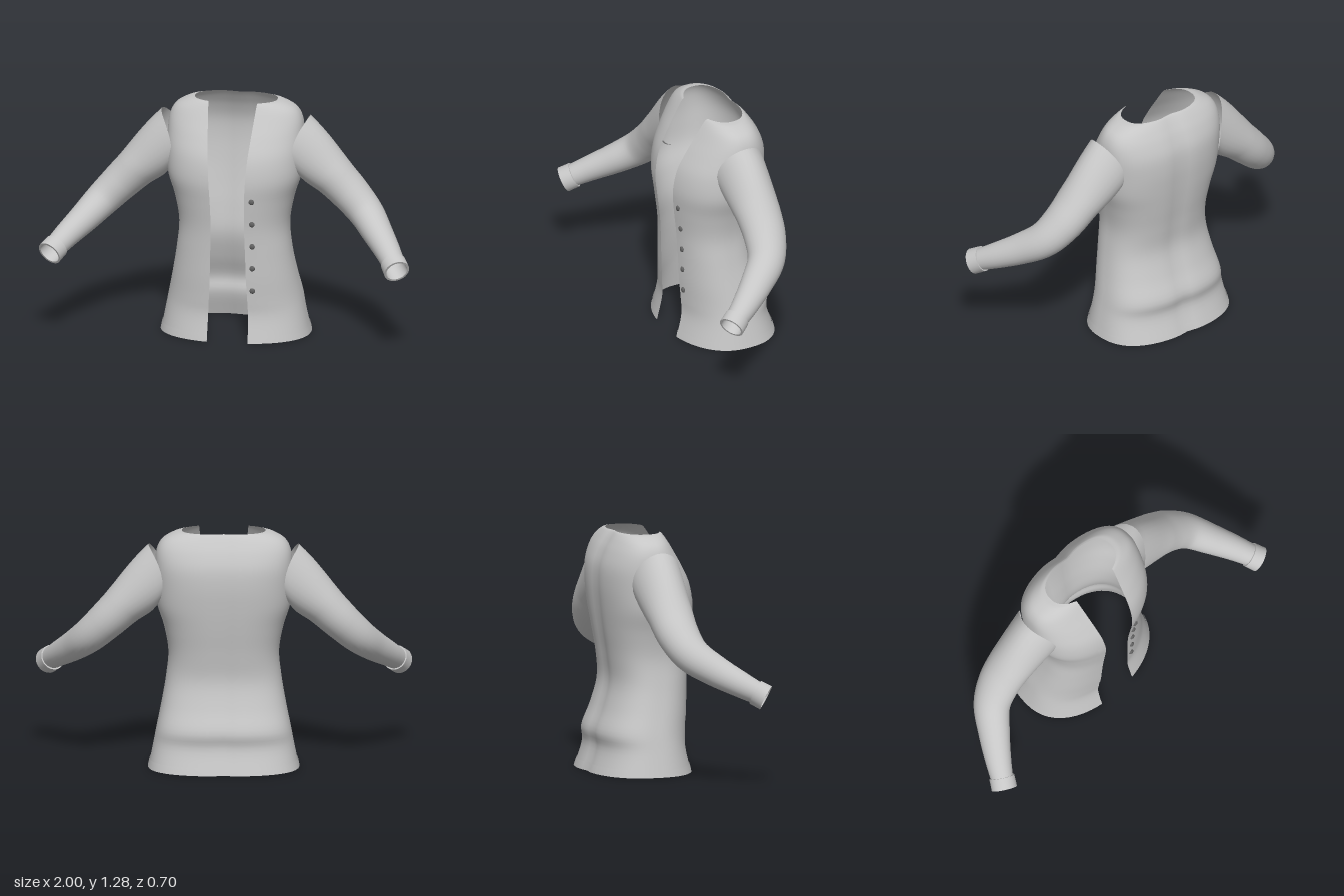
import * as THREE from 'three';

const fabric = new THREE.MeshStandardMaterial({ color: 0xc6c6c6, side: THREE.DoubleSide });
fabric.name = 'light grey fabric';
const dark = new THREE.MeshStandardMaterial({ color: 0x626262 });
dark.name = 'dark grey button';

// Smooth sheet from a rule fn(u, v); wrap closes it around u
function sheet(nu, nv, fn, wrap = false) {
  const pos = [], index = [], cols = wrap ? nu : nu + 1;
  for (let j = 0; j <= nv; j++)
    for (let i = 0; i < cols; i++) pos.push(...fn(i / nu, j / nv));
  for (let j = 0; j < nv; j++)
    for (let i = 0; i < nu; i++) {
      const a = j * cols + i, b = j * cols + ((i + 1) % cols);
      index.push(a, b, a + cols, b, b + cols, a + cols);
    }
  const geo = new THREE.BufferGeometry();
  geo.setAttribute('position', new THREE.Float32BufferAttribute(pos, 3));
  geo.setIndex(index);
  geo.computeVertexNormals();
  return geo;
}

function add(group, name, geo, mat = fabric) {
  const mesh = new THREE.Mesh(geo, mat);
  mesh.name = name;
  group.add(mesh);
  return mesh;
}

// Torso sections: height, half width, front z, back z, half opening
const SECTIONS = [
  [0, 0.398, 0.197, -0.352, 0.11], [0.13, 0.372, 0.168, -0.312, 0.108],
  [0.22, 0.355, 0.17, -0.32, 0.104], [0.34, 0.33, 0.177, -0.275, 0.098],
  [0.48, 0.306, 0.182, -0.24, 0.094], [0.62, 0.294, 0.19, -0.252, 0.09],
  [0.76, 0.318, 0.205, -0.274, 0.092], [0.88, 0.355, 0.213, -0.29, 0.098],
  [1.0, 0.364, 0.193, -0.3, 0.106], [1.1, 0.364, 0.145, -0.295, 0.115],
  [1.18, 0.355, 0.096, -0.268, 0.122], [1.235, 0.325, 0.063, -0.237, 0.127],
  [1.27, 0.265, 0.043, -0.212, 0.13], [1.28, 0.222, 0.035, -0.2, 0.132],
];
const curveA = new THREE.CatmullRomCurve3(
  SECTIONS.map(s => new THREE.Vector3(s[0], s[1], s[2])), false, 'catmullrom', 0.5);
const curveB = new THREE.CatmullRomCurve3(
  SECTIONS.map(s => new THREE.Vector3(s[0], s[3], s[4])), false, 'catmullrom', 0.5);
const NF = 2.2, NB = 2.6;

function sectionAt(t) {
  const a = curveA.getPoint(t), b = curveB.getPoint(t);
  return { y: a.x, w: a.y, zf: a.z, zb: b.y, gap: b.z, mid: (a.z + b.y) / 2 };
}

function heightToT(y) {
  let lo = 0, hi = 1;
  for (let i = 0; i < 30; i++) {
    const m = (lo + hi) / 2;
    if (curveA.getPoint(m).x < y) lo = m; else hi = m;
  }
  return (lo + hi) / 2;
}

// Angle around a section at which the front reaches a given x
const frontAngle = (s, x) => Math.asin(Math.pow(x / s.w, NF / 2));

function torsoPoint(s, a, off = 0) {
  const sn = Math.sin(a), cs = Math.cos(a), n = cs > 0 ? NF : NB;
  const x = (s.w + off) * Math.sign(sn) * Math.pow(Math.abs(sn), 2 / n);
  const d = (cs > 0 ? s.zf - s.mid : s.mid - s.zb) + off;
  let z = s.mid + d * Math.sign(cs) * Math.pow(Math.abs(cs), 2 / n);
  if (cs < 0) z += 0.012 * Math.exp(-((x / 0.05) ** 2)); // spine groove
  return [x, s.y, z];
}

function torsoSheet(t0, t1, nv, off) {
  return sheet(72, nv, (u, v) => {
    const s = sectionAt(t0 + (t1 - t0) * v), a0 = frontAngle(s, s.gap);
    return torsoPoint(s, a0 + (2 * Math.PI - 2 * a0) * u, off);
  });
}

// Sleeve sections: centre x, y, z, vertical radius, sideways radius
const ARM = [
  [0.38, 1.035, -0.075, 0.168, 0.138], [0.51, 0.895, -0.075, 0.118, 0.124],
  [0.62, 0.785, -0.065, 0.102, 0.114], [0.71, 0.695, -0.025, 0.092, 0.1],
  [0.79, 0.617, 0.075, 0.08, 0.086], [0.865, 0.55, 0.185, 0.068, 0.071],
  [0.912, 0.505, 0.264, 0.06, 0.06],
];
const armPath = new THREE.CatmullRomCurve3(ARM.map(p => new THREE.Vector3(p[0], p[1], p[2])));
const armRadii = new THREE.CatmullRomCurve3(
  ARM.map(p => new THREE.Vector3(p[3], p[4], 0)), false, 'catmullrom', 0.5);

function ringPoint(c, tangent, ru, rs, angle) {
  const t = tangent.clone().normalize();
  const up = new THREE.Vector3(0.7, 0.7, 0);
  up.addScaledVector(t, -up.dot(t)).normalize();
  const side = new THREE.Vector3().crossVectors(t, up);
  return c.clone().addScaledVector(up, ru * Math.cos(angle)).addScaledVector(side, rs * Math.sin(angle));
}

function makeSleeve(sign, name) {
  const g = new THREE.Group();
  g.name = name;
  add(g, 'sleeve', sheet(28, 36, (u, v) => {
    const a = u * 2 * Math.PI, r = armRadii.getPoint(v), k = Math.max(0, 1 - 5 * v);
    const t = armPath.getTangent(v).lerp(new THREE.Vector3(1, -0.12, 0), k);
    const p = ringPoint(armPath.getPoint(v), t, r.x, r.y, a);
    p.x -= 0.055 * k * Math.sin(a) ** 2; // armhole curves in at front and back
    return [sign * p.x, p.y, p.z];
  }, true));

  // Cuff: turned band with a hollow inside
  const start = new THREE.Vector3(0.908, 0.508, 0.258), end = new THREE.Vector3(0.936, 0.479, 0.307);
  const dir = end.clone().sub(start);
  const band = (part, pts) => {
    add(g, part, sheet(28, pts.length - 1, (u, v) => {
      const [along, r] = pts[Math.round(v * (pts.length - 1))];
      const p = ringPoint(start.clone().addScaledVector(dir, along), dir, r, r, u * 2 * Math.PI);
      return [sign * p.x, p.y, p.z];
    }, true));
  };
  band('cuffBand', [[0, 0.068], [1, 0.069]]);
  band('cuffBackEdge', [[0, 0.058], [0, 0.068]]);
  band('cuffFrontEdge', [[1, 0.069], [1, 0.058]]);
  band('cuffLining', [[1, 0.058], [-0.2, 0.055]]);
  return g;
}

export function createModel() {
  const model = new THREE.Group();
  model.name = 'jacket';

  add(model, 'torso', torsoSheet(0, 1, 60, 0));
  add(model, 'hemBand', torsoSheet(0, heightToT(0.042), 3, 0.004));

  // Raised placket on the right front edge
  const p0 = heightToT(0.28), p1 = heightToT(0.92);
  add(model, 'placket', sheet(4, 24, (u, v) => {
    const s = sectionAt(p0 + (p1 - p0) * v);
    return torsoPoint(s, -frontAngle(s, s.gap + 0.045 * u), 0.004);
  }));

  // Button row on the left front edge
  for (const y of [0.785, 0.657, 0.532, 0.41, 0.285]) {
    const s = sectionAt(heightToT(y));
    const b = add(model, 'button', new THREE.SphereGeometry(0.015, 14, 10), dark);
    b.position.set(...torsoPoint(s, frontAngle(s, 0.13), 0.003));
    b.scale.z = 0.6;
  }

  model.add(makeSleeve(1, 'leftSleeve'), makeSleeve(-1, 'rightSleeve'));
  return model;
}
